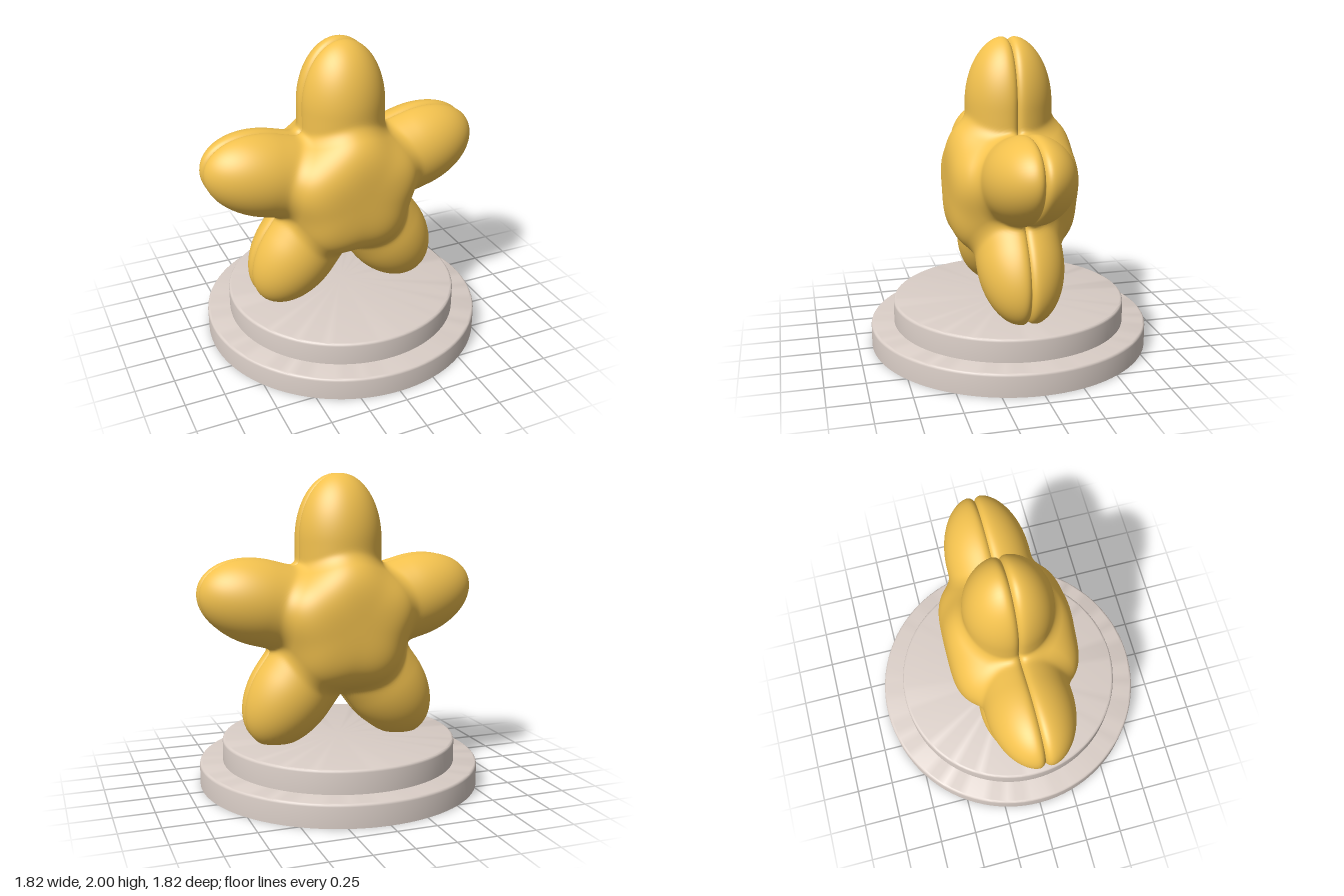
import * as THREE from 'three';
import { mergeVertices, toCreasedNormals } from 'three/addons/utils/BufferGeometryUtils.js';

const CENTER_Y = 1.06;
// arm directions: top, upper pair, lower pair
const ARMS = [90, 15, 165, -54, 234].map((deg) => {
  const a = THREE.MathUtils.degToRad(deg);
  return { c: Math.cos(a), s: Math.sin(a) };
});

// smooth union of two distances
function blend(a, b, k) {
  const h = Math.max(k - Math.abs(a - b), 0) / k;
  return Math.min(a, b) - h * h * k * 0.25;
}

// straight arm with an elongated, rounded end
function armField(arm, x, y, z) {
  const u = x * arm.c + y * arm.s;
  const v = -x * arm.s + y * arm.c;
  if (u < 0) return 1;
  const cap = Math.max(0, u - 0.523) / 0.425;
  return 0.27 * (Math.hypot(v / 0.278, z / 0.275, cap) - 1);
}

// broad, flattened belly, slightly wider toward each arm
function bellyField(x, y, z) {
  const r = Math.hypot(x, y);
  const R = 0.475 + 0.025 * Math.cos(5 * (Math.atan2(y, x) - Math.PI / 2));
  return 0.35 * (Math.pow((r / R) ** 4 + (z / 0.41) ** 2, 0.5) - 1);
}

function starField(x, y, z) {
  let f = bellyField(x, y, z);
  for (const arm of ARMS) f = blend(f, armField(arm, x, y, z), 0.05);
  // seam groove around the rim
  return f + 0.025 * Math.exp(-Math.abs(z) / 0.02);
}

// sphere whose vertices are pushed out to the star's surface
function starGeometry() {
  const geo = new THREE.SphereGeometry(1, 260, 180);
  geo.rotateX(Math.PI / 2);
  geo.deleteAttribute('uv');
  geo.deleteAttribute('normal');
  const merged = mergeVertices(geo, 1e-5);
  const pos = merged.attributes.position;
  for (let i = 0; i < pos.count; i++) {
    // gather rows near the seam
    const t = Math.asin(THREE.MathUtils.clamp(pos.getZ(i), -1, 1)) / (Math.PI / 2);
    const lat = Math.sign(t) * Math.pow(Math.abs(t), 1.5) * Math.PI / 2;
    const lon = Math.atan2(pos.getY(i), pos.getX(i));
    const dx = Math.cos(lat) * Math.cos(lon);
    const dy = Math.cos(lat) * Math.sin(lon);
    const dz = Math.sin(lat);
    let lo = 0.1, hi = 1.2;
    for (let n = 0; n < 24; n++) {
      const mid = (lo + hi) / 2;
      if (starField(dx * mid, dy * mid, dz * mid) < 0) lo = mid;
      else hi = mid;
    }
    pos.setXYZ(i, dx * lo, dy * lo, dz * lo);
  }
  merged.computeVertexNormals();
  return merged;
}

// disc with a rounded upper rim
function discGeometry(radius, bottom, top) {
  const b = 0.018;
  const pts = [new THREE.Vector2(0, bottom), new THREE.Vector2(radius, bottom)];
  for (let i = 0; i <= 4; i++) {
    const a = (i / 4) * Math.PI / 2;
    pts.push(new THREE.Vector2(radius - b + b * Math.cos(a), top - b + b * Math.sin(a)));
  }
  pts.push(new THREE.Vector2(0, top));
  return toCreasedNormals(new THREE.LatheGeometry(pts, 96), 0.6);
}

export function createModel() {
  const group = new THREE.Group();
  const gold = new THREE.MeshStandardMaterial({ color: 0xf2c14e });
  const stone = new THREE.MeshStandardMaterial({ color: 0xd9cdc6 });

  const add = (name, geometry, material) => {
    const mesh = new THREE.Mesh(geometry, material);
    mesh.name = name;
    group.add(mesh);
    return mesh;
  };

  add('lowerBase', discGeometry(0.91, 0, 0.148), stone);
  add('upperBase', discGeometry(0.76, 0.14, 0.297), stone);
  add('star', starGeometry(), gold).position.y = CENTER_Y;
  return group;
}
